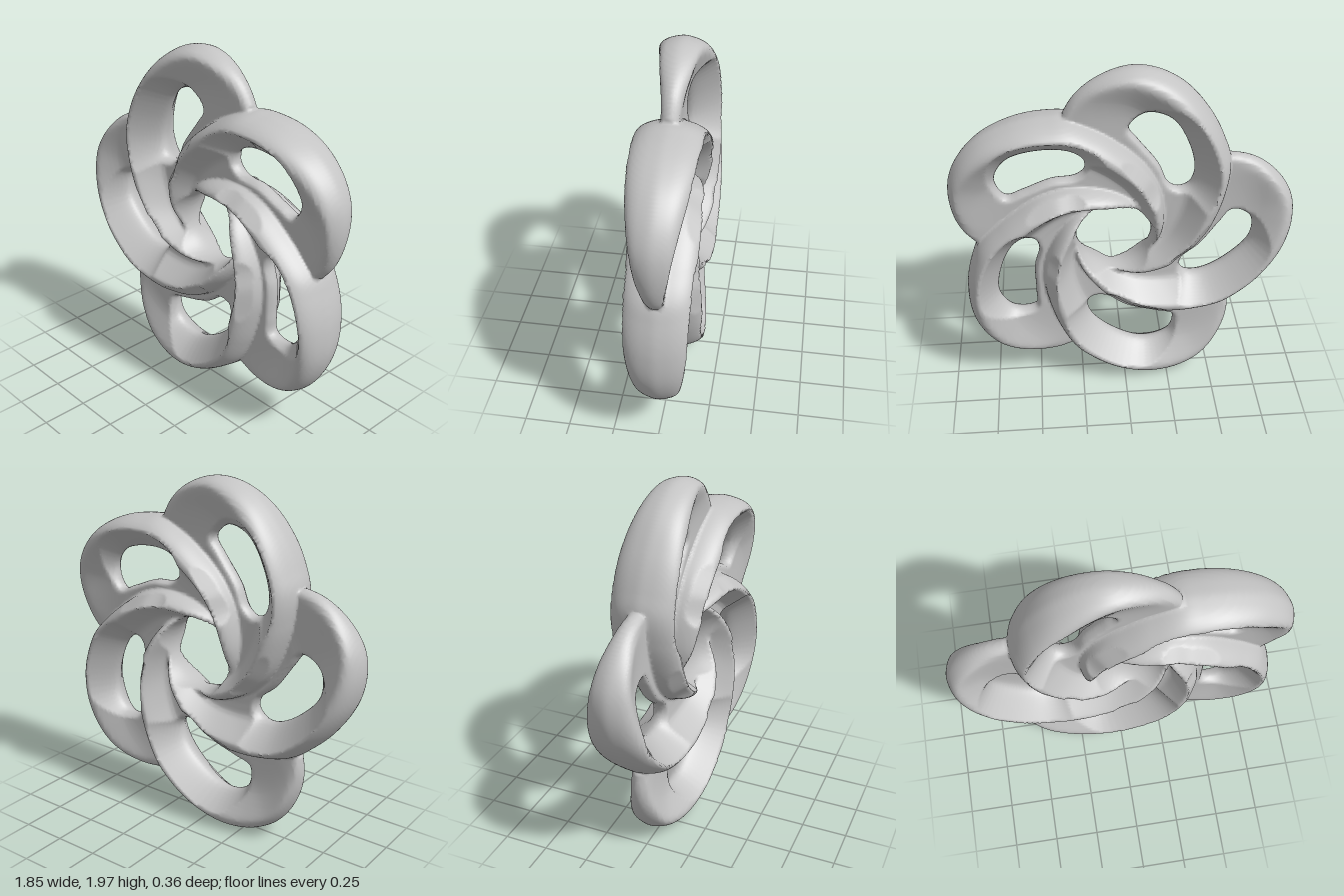
import * as THREE from 'three';

const FOLD = Math.PI * 2 / 5, DEG = Math.PI / 180;

// One spiral strand: angle, ridge radius, outer foot radius, ridge half height
const STRAND = [
  [71, 0.74, 0.775, 0.02], [77, 0.80, 0.855, 0.045], [84, 0.875, 0.92, 0.07], [95, 0.93, 0.98, 0.10],
  [102, 0.92, 0.985, 0.12], [112, 0.875, 0.955, 0.145], [124, 0.80, 0.885, 0.167], [136, 0.71, 0.81, 0.18],
  [143, 0.655, 0.77, 0.182], [154, 0.56, 0.67, 0.182], [165, 0.48, 0.58, 0.181], [180, 0.40, 0.49, 0.178],
  [196, 0.33, 0.41, 0.17], [215, 0.27, 0.335, 0.152], [235, 0.237, 0.285, 0.125], [260, 0.215, 0.25, 0.075],
  [285, 0.205, 0.235, 0.02],
];
const strandAt = new THREE.CubicInterpolant(STRAND.map((s) => s[0]), STRAND.flatMap((s) => s.slice(1)), 3);

// Outline of one lobe opening
const HOLE = new THREE.CatmullRomCurve3([
  [-0.08, 0.655], [-0.165, 0.735], [-0.30, 0.695], [-0.40, 0.53], [-0.43, 0.375], [-0.40, 0.295],
  [-0.345, 0.275], [-0.29, 0.31], [-0.24, 0.425], [-0.13, 0.575],
].map(([x, y]) => new THREE.Vector3(x, y, 0)), true).getPoints(60);

// Signed distance to the opening, positive in the material
function holeDistance(x, y) {
  let best = Infinity, inside = false;
  for (let i = 0; i < HOLE.length - 1; i++) {
    const a = HOLE[i], b = HOLE[i + 1];
    const dx = b.x - a.x, dy = b.y - a.y;
    const t = THREE.MathUtils.clamp(((x - a.x) * dx + (y - a.y) * dy) / (dx * dx + dy * dy || 1), 0, 1);
    best = Math.min(best, Math.hypot(x - a.x - dx * t, y - a.y - dy * t));
    if ((a.y > y) !== (b.y > y) && x < a.x + (y - a.y) * dx / dy) inside = !inside;
  }
  return inside ? -best : best;
}

function smoothMax(a, b, k) {
  const h = Math.max(k - Math.abs(a - b), 0);
  return Math.max(a, b) + h * h / (4 * k);
}

const edgeCap = (d) => (d > 0 ? 0.08 * d + 1.4 * d * d : 0.08 * d);

// The lower lobe reaches a little further out, the one at the right a little less
function lobeReach(angle, r) {
  const bump = (at) => {
    const d = ((angle - at + 540) % 360 + 360) % 360 - 180;
    return Math.exp(-((d / 30) ** 2));
  };
  return 1 + (0.065 * bump(260) - 0.05 * bump(13)) * THREE.MathUtils.smoothstep(r, 0.2, 0.65);
}

// Squared half thickness of the body at a point in its plane
function thickness(x, y) {
  const angle = Math.atan2(y, x) / DEG, radius = Math.hypot(x, y);
  const r = radius / lobeReach(angle, radius);
  const deg = 71 + ((((angle - 71) % 72) + 72) % 72);
  let g = -1;
  for (let a = deg; a <= 285; a += 72) {
    const [ridge, foot, high] = strandAt.evaluate(a);
    const d = r - ridge;
    let s;
    if (d > 0) {
      s = high * high * (1 - (d / (foot - ridge)) ** 2);
    } else {
      const u = Math.hypot(d / (0.3 * ridge + 0.03), 0.07) - 0.07;
      s = u < 1 ? high * high * (1 - u) ** 2.4 : -0.01 * (u - 1);
    }
    // thin web joining the strands
    if (a === deg) g = Math.min(0.0018, 0.09 * (foot - r));
    g = smoothMax(g, Math.max(s, -0.1), 0.003);
  }
  // lobe openings and central opening
  let hole = Infinity;
  for (let k = -1; k <= 1; k++) {
    const a = deg * DEG + k * FOLD;
    hole = Math.min(hole, holeDistance(r * Math.cos(a), r * Math.sin(a)));
  }
  return Math.min(g, edgeCap(hole), 5 * edgeCap(r - 0.205));
}

// Move a surface point along the gradient onto the exact surface
function settle(p, reach) {
  const e = 0.002;
  for (let pass = 0; pass < 2; pass++) {
    const f = thickness(p[0], p[1]) - p[2] * p[2];
    const gx = (thickness(p[0] + e, p[1]) - thickness(p[0] - e, p[1])) / (2 * e);
    const gy = (thickness(p[0], p[1] + e) - thickness(p[0], p[1] - e)) / (2 * e);
    const gz = -2 * p[2];
    const length = Math.hypot(gx, gy, gz) + 1e-6;
    const move = THREE.MathUtils.clamp(f / length, -reach, reach) / length;
    p[0] -= gx * move;
    p[1] -= gy * move;
    p[2] -= gz * move;
  }
  return p;
}

// Surface net over the solid  thickness(x, y) > z * z
function buildBody() {
  const step = 0.0138, n = [152, 152, 32];
  const coord = (i, axis) => (i - (n[axis] - 1) / 2) * step;
  const stride = [1, n[0], n[0] * n[1]];
  const field = new Float32Array(n[0] * n[1] * n[2]);
  for (let j = 0; j < n[1]; j++) for (let i = 0; i < n[0]; i++) {
    const g = thickness(coord(i, 0), coord(j, 1));
    for (let k = 0; k < n[2]; k++) field[i + j * stride[1] + k * stride[2]] = g - coord(k, 2) ** 2;
  }
  const cell = new Int32Array(field.length).fill(-1), pos = [], index = [];
  const corners = [0, 1, 2, 3, 4, 5, 6, 7].map((c) => [c & 1, (c >> 1) & 1, c >> 2]);
  const offset = corners.map((c) => c[0] + c[1] * stride[1] + c[2] * stride[2]);
  // one vertex in every cell that the surface crosses
  for (let k = 0; k < n[2] - 1; k++) for (let j = 0; j < n[1] - 1; j++) for (let i = 0; i < n[0] - 1; i++) {
    const id = i + j * stride[1] + k * stride[2];
    const p = [0, 0, 0];
    let count = 0;
    for (let c = 0; c < 8; c++) for (let axis = 0; axis < 3; axis++) {
      if (corners[c][axis]) continue;
      const f0 = field[id + offset[c]], f1 = field[id + offset[c] + stride[axis]];
      if ((f0 > 0) === (f1 > 0)) continue;
      for (let m = 0; m < 3; m++) p[m] += corners[c][m] + (m === axis ? f0 / (f0 - f1) : 0);
      count++;
    }
    if (!count) continue;
    cell[id] = pos.length / 3;
    const at = [coord(i + p[0] / count, 0), coord(j + p[1] / count, 1), coord(k + p[2] / count, 2)];
    pos.push(...settle(at, step * 0.4));
  }
  // one quad around every crossed grid edge
  for (let k = 1; k < n[2] - 1; k++) for (let j = 1; j < n[1] - 1; j++) for (let i = 1; i < n[0] - 1; i++) {
    const id = i + j * stride[1] + k * stride[2];
    for (let axis = 0; axis < 3; axis++) {
      const inside = field[id] > 0;
      if (inside === (field[id + stride[axis]] > 0)) continue;
      const b = stride[(axis + 1) % 3], c = stride[(axis + 2) % 3];
      const q = [cell[id], cell[id - b], cell[id - b - c], cell[id - c]];
      if (!inside) q.reverse();
      index.push(q[0], q[1], q[2], q[0], q[2], q[3]);
    }
  }
  const geometry = new THREE.BufferGeometry();
  geometry.setAttribute('position', new THREE.Float32BufferAttribute(pos, 3));
  geometry.setIndex(index);
  return geometry;
}

export function createModel() {
  const group = new THREE.Group();
  group.name = 'fiveLobedKnotSculpture';
  const grey = new THREE.MeshStandardMaterial({ color: 0xc4c4c4 });
  grey.name = 'grey';

  // stand the body on the ground, centred
  const geometry = buildBody();
  geometry.computeBoundingBox();
  const box = geometry.boundingBox;
  geometry.translate(-(box.min.x + box.max.x) / 2, -box.min.y, 0);
  geometry.computeVertexNormals();

  const body = new THREE.Mesh(geometry, grey);
  body.name = 'interlacedBody';
  group.add(body);
  return group;
}
